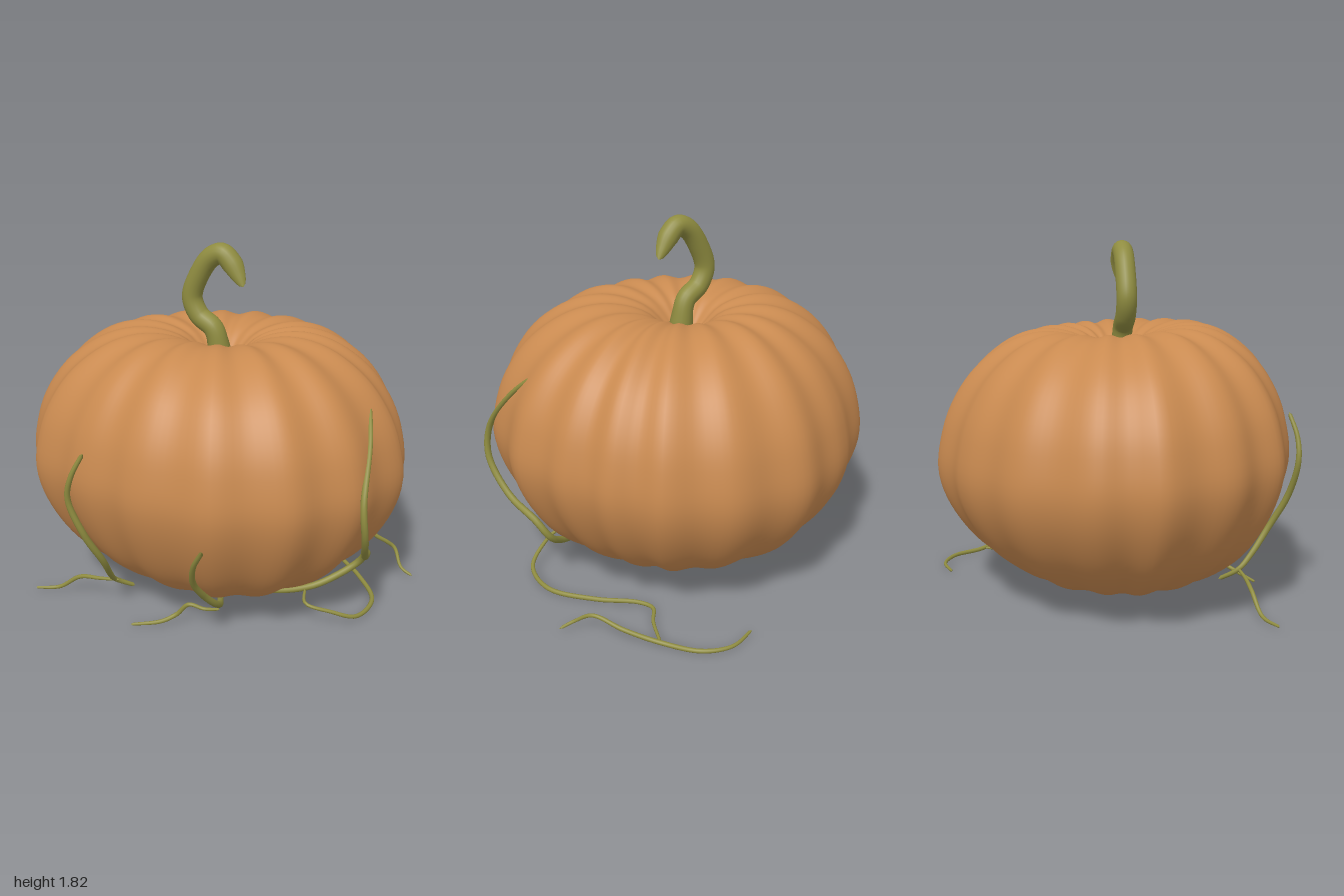
import * as THREE from 'three';

const skin = new THREE.MeshStandardMaterial({ color: 0xc98a50 });
const green = new THREE.MeshStandardMaterial({ color: 0x8f8c40 });
const vec = (p) => new THREE.Vector3(...p);

// Rib crests around the equator as [x, z]
const CRESTS = [
  [0.99, 0.01], [0.91, 0.4], [0.7, 0.68], [0.38, 0.865], [0, 0.89], [-0.33, 0.83],
  [-0.68, 0.69], [-0.88, 0.43], [-1, 0.08], [-0.94, -0.23], [-0.73, -0.57],
  [-0.39, -0.8], [-0.04, -0.925], [0.34, -0.875], [0.64, -0.706], [0.8, -0.5], [0.91, -0.28],
];

// Upright profile as [fraction of equator radius, height], bottom to top
const PROFILE = [
  [0, 0.095], [0.2, 0.088], [0.38, 0.088], [0.55, 0.125], [0.78, 0.285], [0.93, 0.49], [1, 0.7],
  [0.975, 0.9], [0.91, 1.06], [0.8, 1.205], [0.65, 1.315], [0.5, 1.37], [0.35, 1.375],
  [0.2, 1.33], [0.08, 1.225], [0, 1.18],
];

// Ribbed body: the profile swept around, dipping between neighbouring crests
function bodyGeometry() {
  const perRib = 10, rows = 60, cols = CRESTS.length * perRib;
  const profile = new THREE.SplineCurve(PROFILE.map((p) => new THREE.Vector2(...p))).getSpacedPoints(rows);
  const polar = CRESTS.map(([x, z]) => ({ a: Math.atan2(z, x), r: Math.hypot(x, z) }));
  const pos = [], index = [];
  profile.forEach((p, j) => {
    const f = Math.max(0, p.x);
    for (let i = 0; i < cols; i++) {
      const k = Math.floor(i / perRib), t = (i % perRib) / perRib;
      const A = polar[k], B = polar[(k + 1) % polar.length];
      let span = B.a - A.a;
      if (span < 0) span += Math.PI * 2;
      const angle = A.a + span * t;
      const groove = Math.sin(Math.PI * t) ** 2;
      const r = f * THREE.MathUtils.lerp(A.r, B.r, t) * (1 - 0.032 * groove);
      // grooves also sink into the shoulder and the underside
      const sink = 0.018 * groove * Math.sin(Math.PI * Math.min(1, f)) * (p.y > 0.72 ? -1 : 0.4);
      // the upper body tips up towards the front and the left
      const tilt = f * (0.015 * Math.cos(angle) + 0.045 * Math.sin(angle)) * THREE.MathUtils.smoothstep(p.y, 0.1, 0.7);
      pos.push(r * Math.cos(angle), p.y + sink + tilt, r * Math.sin(angle));
      if (j < rows) {
        const a = j * cols + i, c = j * cols + ((i + 1) % cols);
        index.push(a, a + cols, c, c, a + cols, c + cols);
      }
    }
  });
  const g = new THREE.BufferGeometry();
  g.setAttribute('position', new THREE.Float32BufferAttribute(pos, 3));
  g.setIndex(index);
  g.computeVertexNormals();
  return g;
}

// Tube along a smooth path whose radius follows radiusAt(u)
function taperedTube(name, points, radiusAt, segs = 64, sides = 10) {
  const curve = new THREE.CatmullRomCurve3(points.map(vec), false, 'centripetal');
  const g = new THREE.TubeGeometry(curve, segs, 1, sides);
  const pos = g.attributes.position, v = new THREE.Vector3();
  for (let i = 0; i <= segs; i++) {
    const c = curve.getPointAt(i / segs), r = radiusAt(i / segs);
    for (let j = 0; j <= sides; j++) {
      const n = i * (sides + 1) + j;
      v.fromBufferAttribute(pos, n).sub(c).multiplyScalar(r).add(c);
      pos.setXYZ(n, v.x, v.y, v.z);
    }
  }
  const mesh = new THREE.Mesh(g, green);
  mesh.name = name;
  return mesh;
}

// Vines swell in the middle and thin to a closed point at both ends
const vineRadius = (r) => (u) =>
  u <= 0 || u >= 1 ? 0 : r * (0.6 + 0.4 * Math.sin(Math.PI * u));

export function createModel() {
  const model = new THREE.Group();
  model.name = 'pumpkin';

  const body = new THREE.Mesh(bodyGeometry(), skin);
  body.name = 'body';
  model.add(body);

  // Hooked stem, flared at the root and rounded off at the tip
  model.add(taperedTube('stem', [
    [0.01, 1.15, 0.025], [0, 1.28, 0.025], [-0.03, 1.38, 0.028], [-0.11, 1.44, 0.03],
    [-0.148, 1.53, 0.03], [-0.1, 1.66, 0.03], [-0.04, 1.74, 0.03], [0.02, 1.765, 0.03],
    [0.07, 1.725, 0.03], [0.11, 1.66, 0.03], [0.135, 1.61, 0.03],
  ], (u) => {
    if (u >= 1) return 0;
    return (0.052 + 0.02 * Math.max(0, 1 - u * 5)) * Math.min(1, Math.sqrt((1 - u) * 8));
  }, 80, 18));

  // Climbing vines and their runners on the ground
  const vines = new THREE.Group();
  vines.name = 'vines';
  const paths = {
    leftVine: [0.018, [
      [0.81, 1.17, 0.05], [0.885, 1.01, 0.23], [0.93, 0.78, 0.41], [0.945, 0.62, 0.41],
      [0.91, 0.445, 0.28], [0.86, 0.36, 0.1], [0.81, 0.27, 0.05], [0.72, 0.195, 0.1],
      [0.6, 0.135, 0.18], [0.38, 0.075, 0.22], [0.17, 0.065, 0.18], [-0.1, 0.085, 0.1]]],
    frontRightVine: [0.017, [
      [-0.29, 0.96, 0.84], [-0.345, 0.84, 0.87], [-0.37, 0.72, 0.87], [-0.31, 0.53, 0.84],
      [-0.265, 0.36, 0.76], [-0.29, 0.22, 0.66], [-0.31, 0.15, 0.59], [-0.25, 0.08, 0.5]]],
    frontLeftVine: [0.017, [
      [0.37, 0.65, 0.915], [0.3, 0.53, 0.87], [0.26, 0.4, 0.8], [0.265, 0.29, 0.715],
      [0.28, 0.17, 0.59], [0.2, 0.08, 0.4], [0.06, 0.07, 0.12]]],
    frontRightRunner: [0.011, [
      [-0.29, 0.15, 0.59], [-0.4, 0.135, 0.6], [-0.525, 0.11, 0.6],
      [-0.65, 0.025, 0.62], [-0.765, 0.015, 0.67]]],
    frontLeftRunner: [0.011, [
      [0.28, 0.13, 0.57], [0.2, 0.115, 0.58], [0.125, 0.13, 0.6],
      [0.06, 0.06, 0.61], [0, 0.03, 0.66], [-0.135, 0.012, 0.73]]],
    leftRunner: [0.012, [
      [0.58, 0.125, 0.2], [0.63, 0.115, 0.31], [0.75, 0.08, 0.27], [0.85, 0.035, 0.19],
      [0.87, 0.02, -0.02], [0.72, 0.014, -0.23], [0.56, 0.014, -0.38],
      [0.53, 0.014, -0.46], [0.59, 0.014, -0.55], [0.655, 0.015, -0.705]]],
    backRunner: [0.012, [
      [0.99, 0.02, -0.34], [0.92, 0.045, -0.36], [0.86, 0.1, -0.44], [0.775, 0.06, -0.57],
      [0.655, 0.015, -0.705], [0.535, 0.015, -0.87], [0.4, 0.015, -0.925], [0.25, 0.015, -0.885]]],
  };
  for (const [name, [r, points]] of Object.entries(paths)) {
    vines.add(taperedTube(name, points, vineRadius(r)));
  }
  model.add(vines);
  return model;
}
